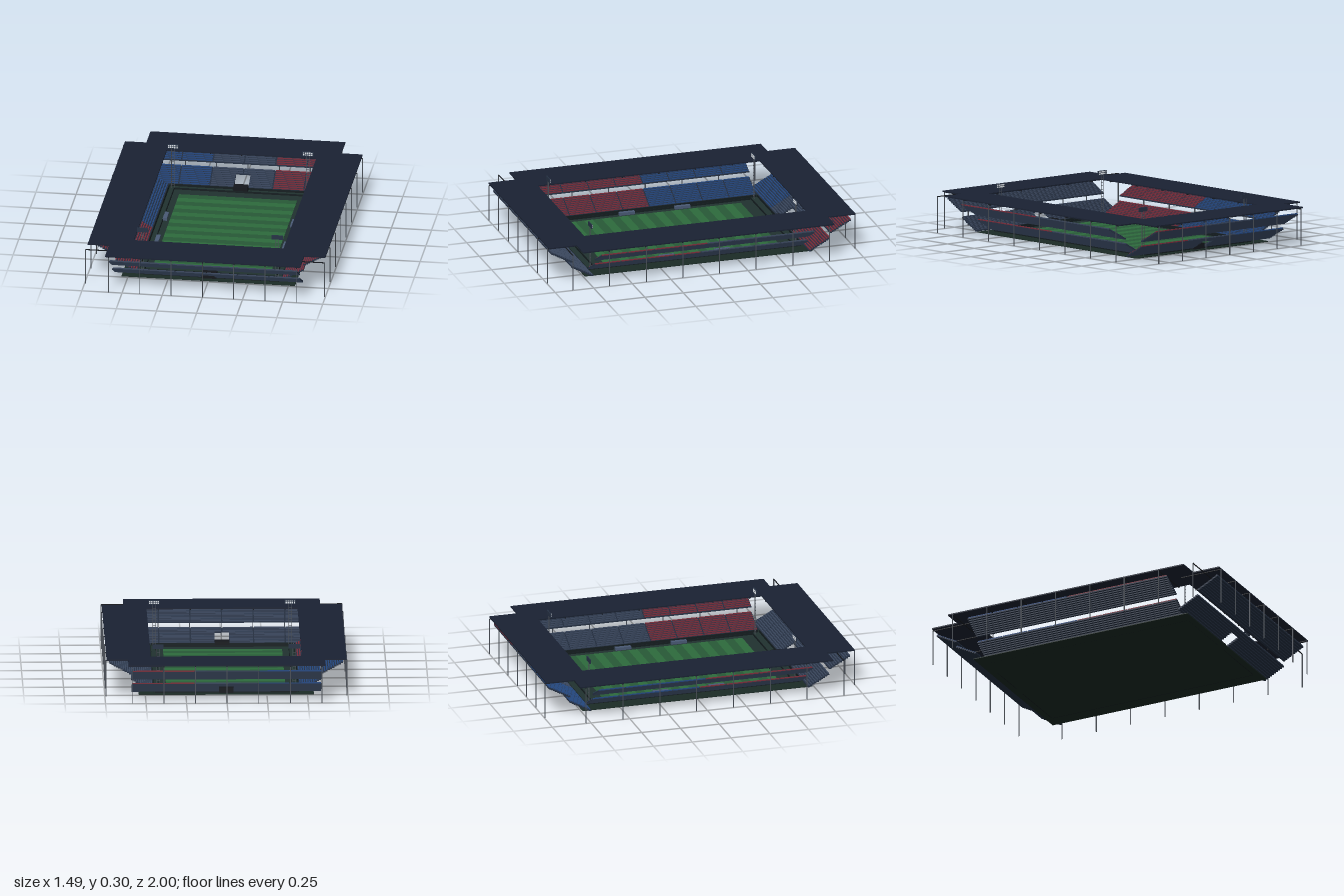
import * as THREE from 'three';
import { mergeGeometries } from 'three/addons/utils/BufferGeometryUtils.js';

const mat = (color) => new THREE.MeshStandardMaterial({ color });
const M = {
  roof: mat(0x1a2233), concrete: mat(0x263245), base: mat(0x1b2b26), track: mat(0x20322f),
  board: mat(0x141d20), steel: mat(0x4a5058), dark: mat(0x14171c), lamp: mat(0xdde2e8),
  dugout: mat(0x4a5a75), grassA: mat(0x2d6b3c), grassB: mat(0x285a37),
  blue: mat(0x24477f), red: mat(0x7a2c3a), slate: mat(0x3a475e),
};

// Box geometry given by size and centre
const box = (w, h, d, x, y, z) => new THREE.BoxGeometry(w, h, d).translate(x, y, z);

function add(parent, name, material, geometries) {
  const mesh = new THREE.Mesh(mergeGeometries(geometries), material);
  mesh.name = name;
  parent.add(mesh);
  return mesh;
}

// One stand, running along local x and rising outward along local +z
function makeStand(name, half, start, blockColors, hasTunnel) {
  const g = new THREE.Group();
  g.name = name;
  const ROWS = 10, RUN = 0.0135, RISE = 0.0073, GAP = 0.045;
  const treads = [], seats = {};
  const blocks = blockColors.length, blockW = (2 * half) / blocks;

  for (const [z0, y0, lower] of [[start, 0.015, true], [start + 0.135, 0.12, false]]) {
    for (let i = 0; i < ROWS; i++) {
      const y = y0 + i * RISE, z = z0 + (i + 0.5) * RUN;
      const cut = hasTunnel && lower && y < 0.06 ? GAP : 0;
      // Spans of the row on each side of the tunnel opening
      const spans = cut ? [[-half, -cut], [cut, half]] : [[-half, half]];
      for (const [a, b] of spans) treads.push(box(b - a, 0.008, RUN + 0.001, (a + b) / 2, y + 0.004, z));
      // Seat blocks with an aisle between neighbours
      blockColors.forEach((color, k) => {
        const a = -half + k * blockW + 0.004, b = a + blockW - 0.008;
        for (const [s, e] of spans) {
          const p = Math.max(a, s), q = Math.min(b, e);
          if (q - p < 0.005) continue;
          (seats[color] ??= []).push(box(q - p, 0.006, 0.008, (p + q) / 2, y + 0.011, z + 0.002));
        }
      });
    }
  }
  add(g, 'terraceSteps', M.concrete, treads);
  for (const color in seats) add(g, color + 'Seats', M[color], seats[color]);

  // Low wall in front of the first row
  const wallZ = start - 0.003;
  const walls = hasTunnel
    ? [-1, 1].map((s) => box(half * 0.75 - GAP, 0.022, 0.005, (s * (half * 0.75 + GAP)) / 2, 0.011, wallZ))
    : [box(2 * half, 0.022, 0.005, 0, 0.011, wallZ)];
  add(g, 'frontWall', M.board, walls);

  // Players' tunnel
  if (hasTunnel) add(g, 'tunnel', M.dark, [box(0.09, 0.036, 0.06, 0, 0.022, start - 0.02)]);
  return g;
}

// Roof slab with its columns and cantilever beams, in the same local frame as a stand
function makeRoof(name, half, inner, outer, columnX) {
  const g = new THREE.Group();
  g.name = name;
  add(g, 'roofSlab', M.roof, [box(2 * half, 0.008, outer - inner, 0, 0.235, (inner + outer) / 2)]);
  const cz = outer + 0.004;
  add(g, 'columns', M.steel, columnX.map((x) => box(0.005, 0.228, 0.005, x, 0.114, cz)));
  add(g, 'roofBeams', M.dark, columnX.map((x) => box(0.005, 0.005, cz - inner, x, 0.2275, (cz + inner) / 2)));
  return g;
}

// Lattice mast carrying a lamp panel that faces local +z
function makeFloodlight() {
  const g = new THREE.Group();
  g.name = 'floodlight';
  const bars = [-1, 1].map((s) => box(0.003, 0.27, 0.003, s * 0.009, 0.14, 0));
  for (let y = 0.03; y < 0.27; y += 0.022) bars.push(box(0.018, 0.002, 0.002, 0, y, 0));
  add(g, 'mast', M.steel, bars);
  add(g, 'lampPanel', M.concrete, [box(0.07, 0.027, 0.007, 0, 0.287, 0)]);
  const lamps = [];
  for (let r = 0; r < 2; r++) {
    for (let c = 0; c < 5; c++) {
      lamps.push(box(0.009, 0.008, 0.003, (c - 2) * 0.013, 0.281 + r * 0.012, 0.0045));
    }
  }
  add(g, 'lamps', M.lamp, lamps);
  return g;
}

export function createModel() {
  const model = new THREE.Group();
  model.name = 'stadium';

  // Ground plate and surround
  add(model, 'groundPlate', M.base, [box(1.08, 0.005, 1.48, 0, 0.0025, 0)]);
  add(model, 'surround', M.track, [box(0.88, 0.004, 1.39, 0, 0.007, 0)]);

  // Striped pitch
  const STRIPES = 20, stripeD = 1.13 / STRIPES, grass = [[], []];
  for (let i = 0; i < STRIPES; i++) {
    grass[i % 2].push(box(0.735, 0.003, stripeD, 0, 0.0105, -0.565 + (i + 0.5) * stripeD));
  }
  add(model, 'lightGrass', M.grassB, grass[0]);
  add(model, 'darkGrass', M.grassA, grass[1]);

  // Perimeter boards and dugouts
  const boards = [], dugouts = [];
  for (const s of [-1, 1]) {
    boards.push(box(0.004, 0.012, 1.29, s * 0.41, 0.014, 0));
    boards.push(box(0.82, 0.012, 0.004, 0, 0.014, s * 0.645));
    for (const z of [-0.195, 0.165]) dugouts.push(box(0.025, 0.018, 0.1, s * 0.397, 0.018, z));
  }
  add(model, 'perimeterBoards', M.board, boards);
  add(model, 'dugouts', M.dugout, dugouts);

  // Stands and roofs on all four sides; local x runs along each side
  const rep = (c, n) => Array(n).fill(c);
  const endColumns = Array.from({ length: 7 }, (_, i) => (i - 3) * 0.195);
  const sideColumns = Array.from({ length: 8 }, (_, i) => -0.78 + i * 0.2375);
  const sides = [
    ['front', 0, true, rep('slate', 6)],
    ['back', Math.PI, true, [...rep('red', 2), ...rep('slate', 2), ...rep('blue', 2)]],
    ['left', Math.PI / 2, false, [...rep('red', 4), ...rep('slate', 4)]],
    ['right', -Math.PI / 2, false, [...rep('blue', 4), ...rep('red', 4)]],
  ];
  for (const [name, angle, isEnd, colors] of sides) {
    const stand = isEnd
      ? makeStand(name + 'Stand', 0.585, 0.7, colors, true)
      : makeStand(name + 'Stand', 0.69, 0.45, colors, false);
    // Mirror the column spacing so both long sides line up in z
    const roof = isEnd
      ? makeRoof(name + 'Roof', 0.607, 0.72, 0.993, endColumns)
      : makeRoof(name + 'Roof', 0.815, 0.466, 0.74, sideColumns.map((z) => (angle > 0 ? -z : z)));
    stand.rotation.y = roof.rotation.y = angle;
    model.add(stand, roof);
  }

  // Corner floodlights facing the pitch
  for (const sx of [-1, 1]) {
    for (const sz of [-1, 1]) {
      const light = makeFloodlight();
      light.position.set(sx * 0.42, 0, sz * 0.665);
      if (sz > 0) light.rotation.y = Math.PI;
      model.add(light);
    }
  }
  return model;
}
